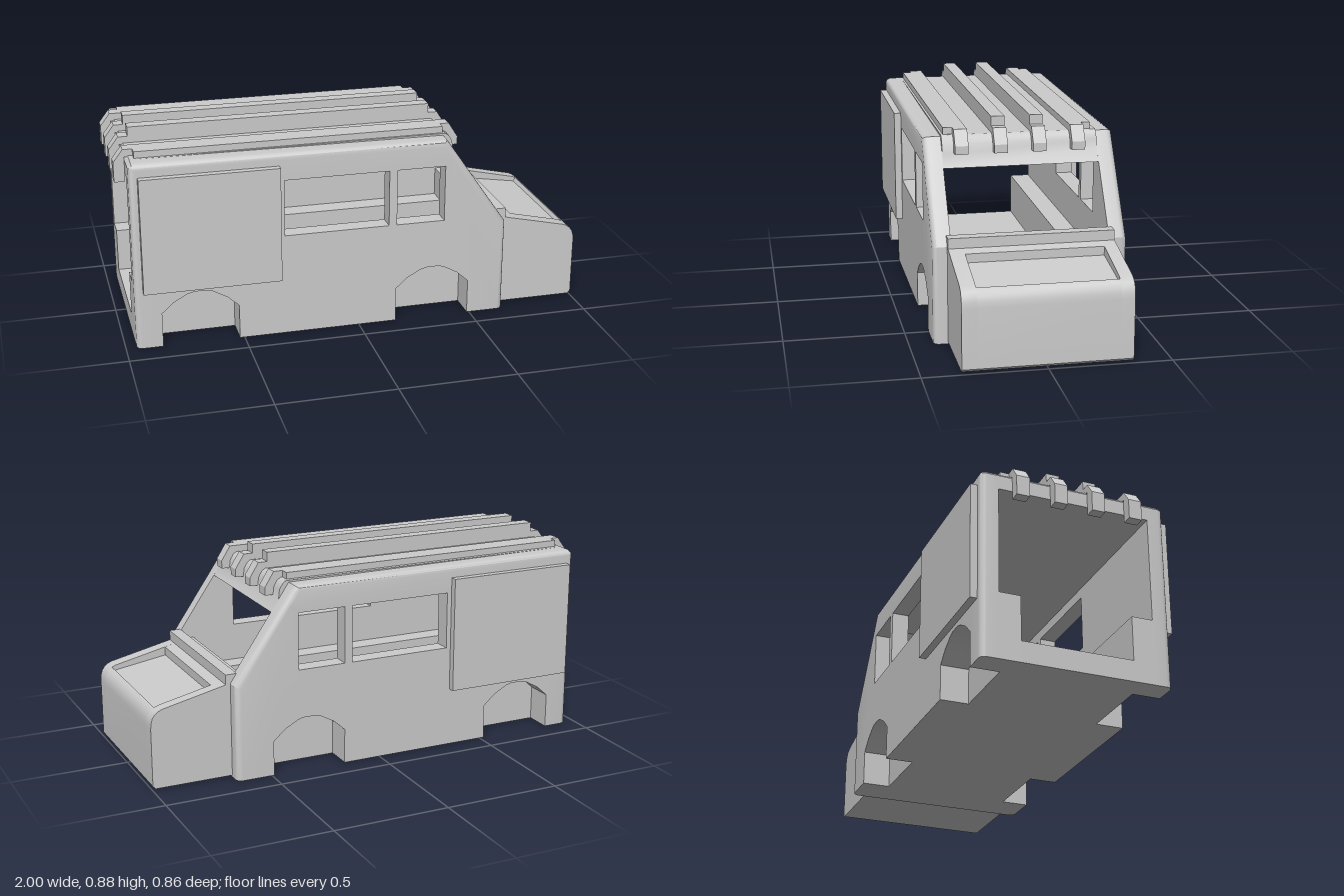
import * as THREE from 'three';
import { toCreasedNormals } from 'three/addons/utils/BufferGeometryUtils.js';

const material = new THREE.MeshStandardMaterial({ color: 0xcccccc });
const WALL = 0.325, SIDE = 0.4, REAR = -0.955, NOSE = 0.655, ROOF = 0.81, RADIUS = 0.025;

const toShape = (points) => new THREE.Shape(points.map(([x, y]) => new THREE.Vector2(x, y)));

// Wheel arch outline, from its rear foot to its front foot
const arch = (x) => [
  [0, 0], [0, 0.15], [0.05, 0.195], [0.11, 0.228], [0.14, 0.235],
  [0.19, 0.235], [0.215, 0.228], [0.275, 0.195], [0.325, 0.15], [0.325, 0],
].map(([dx, y]) => [x + dx, y]);
const bottomEdge = [[REAR, 0], ...arch(-0.845), ...arch(0.165), [NOSE, 0]];

export function createModel() {
  const model = new THREE.Group();

  const add = (name, geometry, parent = model) => {
    const mesh = new THREE.Mesh(geometry, material);
    mesh.name = name;
    parent.add(mesh);
    return mesh;
  };
  // Box given by its limits on each axis
  const box = (name, x0, x1, y0, y1, z0, z1, parent) => {
    const g = new THREE.BoxGeometry(x1 - x0, y1 - y0, z1 - z0);
    g.translate((x0 + x1) / 2, (y0 + y1) / 2, (z0 + z1) / 2);
    return add(name, g, parent);
  };
  // Side profile extruded across the width
  const slab = (name, points, z0, z1, parent) => {
    const g = new THREE.ExtrudeGeometry(toShape(points), { depth: z1 - z0, bevelEnabled: false });
    g.translate(0, 0, z0);
    return add(name, toCreasedNormals(g, 0.5), parent);
  };

  // Side wall: its outer rim is rounded by pulling each layer inward
  const sideWall = (side) => {
    const shape = toShape([
      ...bottomEdge, [NOSE, 0.41], [0.43, 0.735], [0.425, 0.775], [0.41, 0.8],
      [0.395, ROOF], [REAR + 0.015, ROOF], [REAR, ROOF - 0.015],
    ]);
    for (const [x0, x1] of [[-0.32, 0.13], [0.165, 0.375]]) {
      shape.holes.push(new THREE.Path([
        new THREE.Vector2(x0, 0.445), new THREE.Vector2(x0, 0.69),
        new THREE.Vector2(x1, 0.69), new THREE.Vector2(x1, 0.445),
      ]));
    }
    const layers = [{ z: WALL, inset: 0 }];
    for (let i = 0; i <= 4; i++) {
      const a = (i / 4) * Math.PI / 2;
      layers.push({
        z: SIDE - RADIUS * (1 - Math.sin(a)),
        inset: RADIUS * (1 - Math.cos(a)),
      });
    }
    if (side < 0) layers.reverse();
    const steps = layers.length - 1;
    const g = new THREE.ExtrudeGeometry(shape, { depth: 1, steps, bevelEnabled: false });
    const p = g.attributes.position;
    const slope = new THREE.Vector2(0.325, 0.225).normalize();
    const limit = slope.x * NOSE + slope.y * 0.41;
    for (let i = 0; i < p.count; i++) {
      const { z, inset } = layers[Math.round(p.getZ(i) * steps)];
      let x = p.getX(i), y = p.getY(i);
      const over = Math.max(0, slope.x * x + slope.y * y - (limit - inset));
      x = Math.min(Math.max(x - over * slope.x, REAR + inset), NOSE - inset);
      y = Math.min(y - over * slope.y, ROOF - inset);
      p.setXYZ(i, x, y, side * z);
    }
    return add(side > 0 ? 'leftSideWall' : 'rightSideWall', toCreasedNormals(g, 0.5));
  };

  for (const side of [1, -1]) {
    const label = side > 0 ? 'left' : 'right';
    const span = (a, b) => (side > 0 ? [a, b] : [-b, -a]);
    sideWall(side);

    // Inner ledge housing the wheel wells
    slab(label + 'WheelWells', [...bottomEdge, [NOSE, 0.28], [REAR, 0.28]], ...span(0.28, WALL));
    box(label + 'Ledge', REAR, NOSE, 0, 0.28, ...span(0.235, 0.28));

    // Flat panel mounted on the rear of the side
    box(label + 'SidePanel', -0.92, -0.34, 0.255, 0.755, ...span(SIDE, 0.43));
  }

  // Floor, bulkhead and cowl
  box('floor', REAR, NOSE, 0, 0.09, -0.235, 0.235);
  box('bulkhead', 0.57, NOSE, 0.09, 0.41, -WALL, WALL);
  slab('cowl', [[0.6, 0.4], [0.675, 0.4], [0.675, 0.45], [0.625, 0.45]], -0.342, 0.342);

  // Roof with the windscreen header
  slab('roof', [
    [REAR, 0.735], [REAR, ROOF - 0.015], [REAR + 0.015, ROOF], [0.395, ROOF], [0.41, 0.8],
    [0.425, 0.775], [0.43, 0.735], [0.464, 0.685], [0.42, 0.685], [0.385, 0.735],
  ], -WALL, WALL);

  // Bonnet: two side rails around a recessed centre
  const bonnet = new THREE.Group();
  bonnet.name = 'bonnet';
  model.add(bonnet);
  const nose = [
    [0.965, 0.338], [0.98, 0.328], [0.992, 0.31], [0.998, 0.29], [1, 0.265],
    [1, 0.02], [0.988, 0.008], [NOSE, 0.008],
  ];
  const top = [[NOSE, 0.412], [0.95, 0.345]];
  slab('bonnetRail', [...top, ...nose], 0.28, 0.342, bonnet);
  slab('bonnetRail', [...top, ...nose], -0.342, -0.288, bonnet);
  slab('bonnetCentre', [
    [NOSE, 0.412], [0.72, 0.397], [0.72, 0.36], [0.955, 0.322], [0.965, 0.338], ...nose.slice(1),
  ], -0.288, 0.28, bonnet);

  // Roof rails, each with hooked ends over the roof edges
  const rails = new THREE.Group();
  rails.name = 'roofRails';
  rails.position.z = 0.005;
  model.add(rails);
  const hooked = [
    [-0.955, 0.7], [-1, 0.7], [-1, 0.785], [-0.96, 0.838], [0.425, 0.838], [0.465, 0.775],
    [0.465, 0.74], [0.428, 0.74], [0.42, 0.785], [0.4, 0.805], [-0.955, 0.805],
  ];
  for (const side of [1, -1]) {
    for (const z of [0.081, 0.244]) {
      slab('hookedRail', hooked, side * z - 0.028, side * z + 0.028, rails);
    }
    box('innerRailCap', -0.92, 0.385, 0.83, 0.878, side * 0.081 - 0.028, side * 0.081 + 0.028, rails);
    box('outerRailBase', -0.92, 0.385, 0.8, 0.838, side * 0.263 - 0.047, side * 0.263 + 0.047, rails);
  }

  return model;
}
